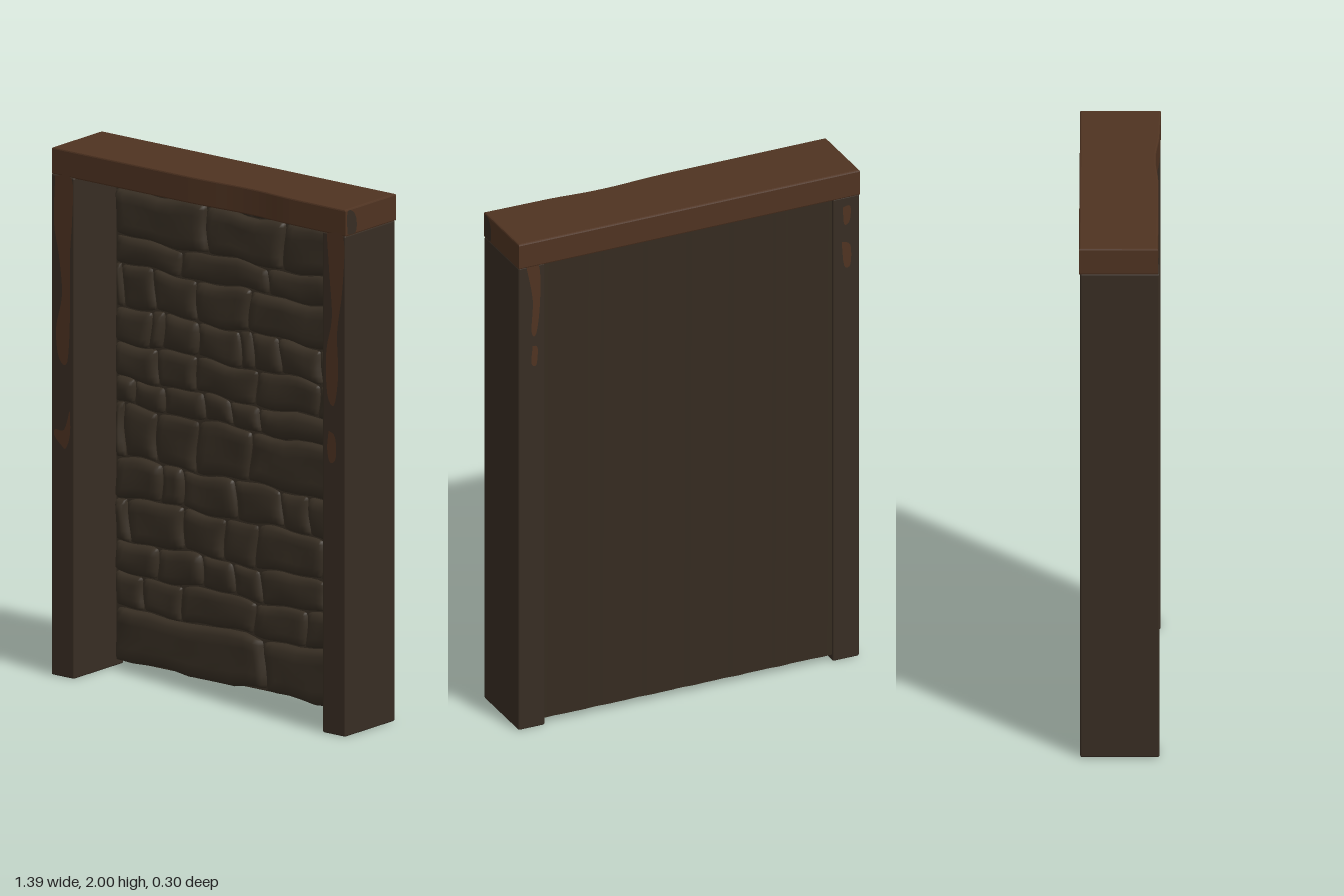
import * as THREE from 'three';
import { RoundedBoxGeometry } from 'three/addons/geometries/RoundedBoxGeometry.js';

const paint = (name, color) => {
  const m = new THREE.MeshStandardMaterial({ color });
  m.name = name;
  return m;
};

// Each course of stones: bottom, top, then the x of its upright joints
const courses = [
  [0.02, 0.225, 0.12],
  [0.225, 0.36, -0.45, -0.27, 0.07, 0.31],
  [0.36, 0.485, -0.39, -0.18, -0.03, 0.1, 0.41],
  [0.485, 0.65, -0.52, -0.26, -0.07, 0.08, 0.39],
  [0.65, 0.8, -0.37, -0.27, -0.02, 0.2, 0.33, 0.5],
  [0.8, 1.0, -0.54, -0.39, -0.2, 0.05, 0.5],
  [1.0, 1.1, -0.5, -0.36, -0.17, -0.04, 0.1],
  [1.1, 1.235, -0.38, -0.2, 0.08, 0.37],
  [1.235, 1.37, -0.42, -0.36, -0.2, 0, 0.06, 0.19, 0.39, 0.48],
  [1.37, 1.53, -0.55, -0.4, -0.2, 0.05, 0.47],
  [1.53, 1.635, -0.28, 0.13, 0.45],
  [1.635, 1.82, -0.15, 0.21],
  [1.82, 1.9, -0.39, -0.12, 0.05],
];

// Pillow-shaped stone face: its rim drops back into the joint
function stoneGeometry(x0, x1, y0, y1, seed) {
  const nx = 12, ny = 8;
  const geo = new THREE.PlaneGeometry(1, 1, nx, ny);
  const p = geo.attributes.position;
  const w = x1 - x0, h = y1 - y0;
  const spread = (t) => t - Math.sin(t * Math.PI * 2) * 0.13;
  for (let i = 0; i < p.count; i++) {
    const u = spread(p.getX(i) + 0.5), v = spread(p.getY(i) + 0.5);
    let x = x0 + u * w, y = y0 + v * h;
    const edge = Math.min(u * w, (1 - u) * w, v * h, (1 - v) * h);
    const rise = Math.sqrt(Math.min(1, edge / 0.022));
    // Cut the corners a little
    const cx = Math.abs(2 * u - 1) ** 8, cy = Math.abs(2 * v - 1) ** 8;
    x -= Math.sign(u - 0.5) * cx * cy * 0.008;
    y -= Math.sign(v - 0.5) * cx * cy * 0.008;
    // Shared waviness keeps neighbouring stones fitted together
    const inner = THREE.MathUtils.clamp((0.585 - Math.abs(x)) / 0.05, 0, 1);
    const wx = x + inner * 0.009 * Math.sin(y * 21 + x * 4);
    const wy = y + 0.007 * Math.sin(x * 13 + y * 9) + 0.004 * Math.sin(x * 31 + y * 5);
    const bump = 0.004 * Math.sin(x * 23 + seed) * Math.sin(y * 27 + seed * 2);
    const top = -0.08 + 0.006 * Math.sin(seed * 7.3) + bump;
    p.setXYZ(i, wx, Math.min(wy, 1.9), THREE.MathUtils.lerp(-0.108, top, rise));
  }
  geo.computeVertexNormals();
  return geo;
}

// Thin worn patch outlined by a smooth closed curve
function patchGeometry(points) {
  const curve = new THREE.SplineCurve([...points, points[0]].map(([x, y]) => new THREE.Vector2(x, y)));
  return new THREE.ShapeGeometry(new THREE.Shape(curve.getPoints(points.length * 4)));
}

export function createModel() {
  const root = new THREE.Group();
  root.name = 'stoneFilledFrame';
  const darkWood = paint('darkWood', 0x382d23);
  const bareWood = paint('bareWood', 0x4f3321);
  const stone = paint('stone', 0x382f24);
  const panelWood = paint('panelWood', 0x352b20);

  const add = (name, geo, mat, x = 0, y = 0, z = 0, parent = root) => {
    const mesh = new THREE.Mesh(geo, mat);
    mesh.name = name;
    mesh.position.set(x, y, z);
    parent.add(mesh);
    return mesh;
  };

  // Side posts
  for (const s of [1, -1]) {
    add(s > 0 ? 'leftPost' : 'rightPost', new RoundedBoxGeometry(0.107, 1.9, 0.29, 2, 0.006), darkWood, s * 0.6385, 0.95, 0);
  }

  // Lintel: plan outline with a worn hollow along the front edge
  const plan = new THREE.Shape();
  const b = 0.006;
  plan.moveTo(-0.693 + b, -0.14 + b);
  plan.lineTo(-0.05, -0.14 + b);
  plan.bezierCurveTo(0.1, -0.137 + b, 0.12, -0.129 + b, 0.2, -0.129 + b);
  plan.bezierCurveTo(0.32, -0.127 + b, 0.36, -0.141 + b, 0.46, -0.142 + b);
  plan.lineTo(0.693 - b, -0.146 + b);
  plan.lineTo(0.693 - b, 0.15 - b);
  plan.lineTo(-0.693 + b, 0.15 - b);
  plan.closePath();
  const lintel = new THREE.ExtrudeGeometry(plan, {
    depth: 0.103 - 2 * b, bevelEnabled: true, bevelSize: b, bevelThickness: b, bevelSegments: 2, curveSegments: 8,
  });
  lintel.rotateX(-Math.PI / 2);
  add('lintel', lintel, bareWood, 0, 1.897 + b, 0);

  // Stone infill
  const wall = new THREE.Group();
  wall.name = 'stoneWall';
  root.add(wall);
  let seed = 1;
  for (const [y0, y1, ...joints] of courses) {
    const xs = [-0.583, ...joints, 0.583];
    for (let i = 0; i < xs.length - 1; i++) {
      add('stone', stoneGeometry(xs[i], xs[i + 1], y0, y1, seed++), stone, 0, 0, 0, wall);
    }
  }
  add('mortarBed', new THREE.BoxGeometry(1.17, 1.872, 0.02), stone, 0, 0.961, -0.113, wall);

  // Back panel with shallow upright ripples
  const panel = new THREE.BoxGeometry(1.17, 1.875, 0.014, 70, 1, 1);
  const pp = panel.attributes.position;
  for (let i = 0; i < pp.count; i++) {
    const x = pp.getX(i);
    if (pp.getZ(i) < 0) pp.setZ(i, -0.007 + 0.0012 * Math.sin(x * 38) + 0.0008 * Math.sin(x * 71));
  }
  panel.computeVertexNormals();
  add('backPanel', panel, panelWood, 0, 0.9625, -0.13);

  // Worn patches on the posts, front
  const front = [
    [[-0.672, 1.897], [-0.594, 1.897], [-0.592, 1.75], [-0.603, 1.6], [-0.602, 1.4], [-0.615, 1.2], [-0.655, 1.21],
      [-0.668, 1.32], [-0.64, 1.45], [-0.655, 1.6], [-0.678, 1.72]],
    [[-0.604, 1.02], [-0.602, 0.93], [-0.622, 0.87], [-0.645, 0.88], [-0.676, 0.91], [-0.672, 0.935], [-0.63, 0.94]],
    [[0.606, 1.897], [0.684, 1.897], [0.68, 1.7], [0.655, 1.53], [0.66, 1.37], [0.64, 1.25], [0.608, 1.29],
      [0.604, 1.45], [0.63, 1.58], [0.618, 1.75]],
    [[0.615, 1.15], [0.645, 1.13], [0.648, 1.05], [0.622, 1.03], [0.608, 1.08]],
  ];
  for (const pts of front) add('wornPatchFront', patchGeometry(pts), bareWood, 0, 0, 0.1465);

  // Worn patches on the posts, back (outlined as seen from behind)
  const back = [
    [[-0.66, 1.897], [-0.61, 1.897], [-0.605, 1.75], [-0.62, 1.62], [-0.64, 1.63], [-0.635, 1.76]],
    [[-0.635, 1.57], [-0.615, 1.56], [-0.62, 1.49], [-0.64, 1.5]],
    [[0.625, 1.86], [0.655, 1.86], [0.652, 1.8], [0.63, 1.79]],
    [[0.62, 1.72], [0.655, 1.7], [0.655, 1.62], [0.63, 1.62]],
  ];
  for (const pts of back) add('wornPatchBack', patchGeometry(pts), bareWood, 0, 0, -0.1465).rotation.y = Math.PI;

  // Dark worn corner on the lintel end
  const corner = patchGeometry([[-0.135, 1.905], [-0.088, 1.905], [-0.082, 1.95], [-0.1, 1.985], [-0.135, 1.99]]);
  add('lintelEndPatch', corner, darkWood, 0.6945, 0, 0).rotation.y = Math.PI / 2;

  return root;
}
